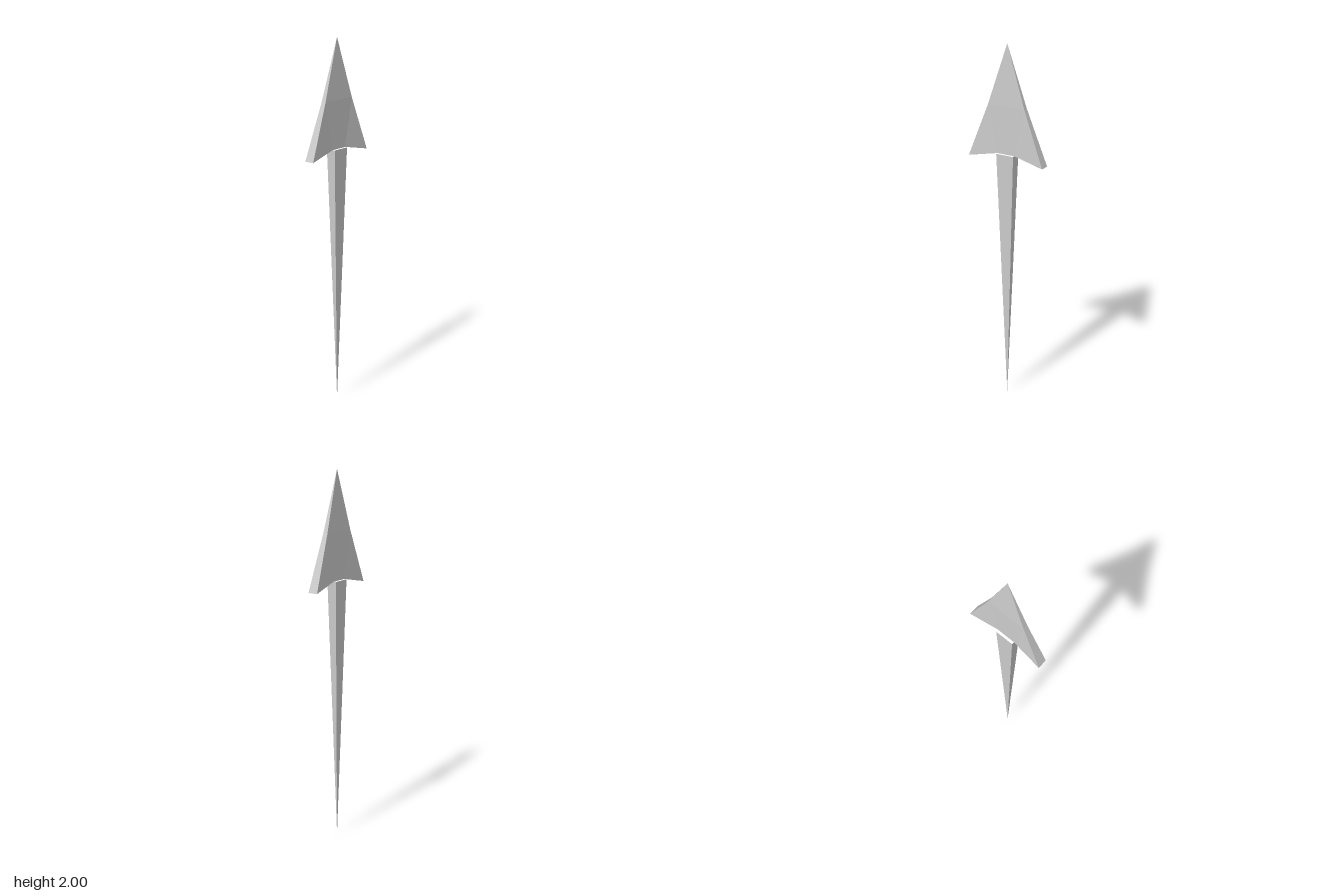
import * as THREE from 'three';

const TIP_Y = 2, KINK_Y = 1.69, NECK_Y = 1.44, BARB_Y = 1.405;
const HALF_DEPTH = 0.026, KINK_DEPTH = 0.0125;

// Half thickness of the head at a given height: full at the barbs, zero at the tip
function headDepth(y) {
  if (y >= KINK_Y) return KINK_DEPTH * (TIP_Y - y) / (TIP_Y - KINK_Y);
  return y <= NECK_Y ? HALF_DEPTH : KINK_DEPTH;
}

export function createModel() {
  const group = new THREE.Group();
  const material = new THREE.MeshStandardMaterial({ color: 0xcccccc, flatShading: true });

  // Barbed arrowhead: extruded outline, thinned towards the tip
  const right = [[0.05, NECK_Y], [0.218, BARB_Y], [0.105, KINK_Y]];
  const left = right.map(([x, y]) => [-x, y]).reverse();
  const outline = [...right, [0, TIP_Y], ...left].map(([x, y]) => new THREE.Vector2(x, y));
  const headGeometry = new THREE.ExtrudeGeometry(new THREE.Shape(outline), { depth: 1, bevelEnabled: false });
  const pos = headGeometry.attributes.position;
  for (let i = 0; i < pos.count; i++) {
    pos.setZ(i, (pos.getZ(i) * 2 - 1) * headDepth(pos.getY(i)));
  }
  headGeometry.computeVertexNormals();
  const head = new THREE.Mesh(headGeometry, material);
  head.name = 'arrowhead';

  // Four-sided shaft tapering to a point at the bottom
  const shaftGeometry = new THREE.CylinderGeometry(Math.SQRT2, 0, NECK_Y, 4, 1, true);
  shaftGeometry.rotateY(Math.PI / 4);
  shaftGeometry.scale(0.05, 1, HALF_DEPTH);
  shaftGeometry.translate(0, NECK_Y / 2, 0);
  const shaft = new THREE.Mesh(shaftGeometry, material);
  shaft.name = 'shaft';

  group.add(head, shaft);
  return group;
}
